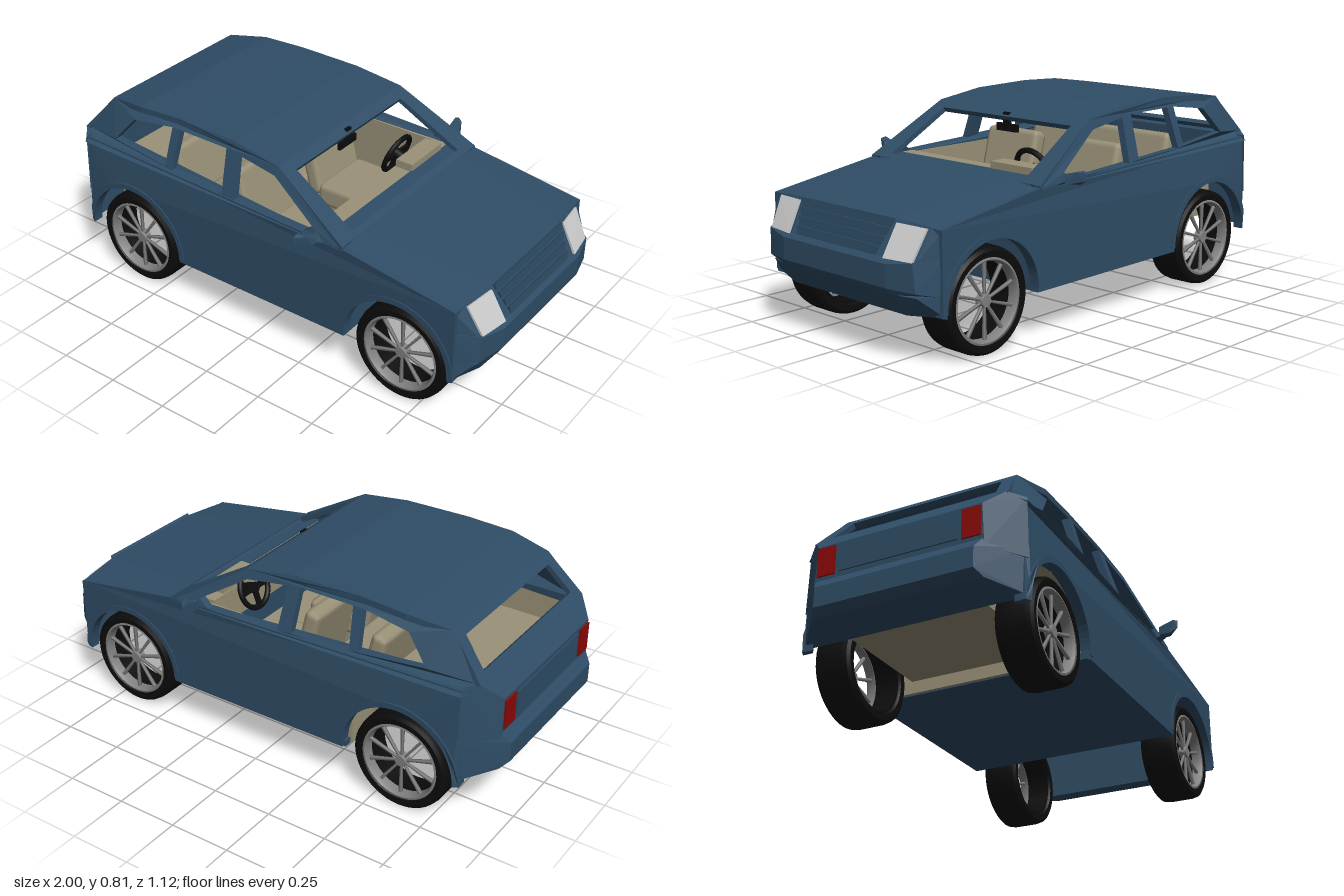
import * as THREE from 'three';
import { ConvexGeometry } from 'three/addons/geometries/ConvexGeometry.js';
import { RoundedBoxGeometry } from 'three/addons/geometries/RoundedBoxGeometry.js';
import { toCreasedNormals } from 'three/addons/utils/BufferGeometryUtils.js';

const mat = (color) => new THREE.MeshStandardMaterial({ color, side: THREE.DoubleSide });
const paint = mat(0x2f4d66), cream = mat(0x9a9278), black = mat(0x0c0c0c);
const alloy = mat(0x808080), lamp = mat(0xcccccc), red = mat(0x8c0808);

export function createModel() {
  const car = new THREE.Group();
  car.name = 'car';

  const add = (name, geometry, material = paint, parent = car) => {
    const mesh = new THREE.Mesh(geometry, material);
    mesh.name = name;
    parent.add(mesh);
    return mesh;
  };
  const sym = (pts) => pts.flatMap(([x, y, z]) => [[x, y, z], [x, y, -z]]);
  const hull = (name, pts, material) =>
    add(name, new ConvexGeometry(pts.map((p) => new THREE.Vector3(...p))), material);
  const box = (name, x0, x1, y0, y1, z0, z1, material) => {
    const m = add(name, new THREE.BoxGeometry(x1 - x0, y1 - y0, z1 - z0), material);
    m.position.set((x0 + x1) / 2, (y0 + y1) / 2, (z0 + z1) / 2);
    return m;
  };

  // Half width of the body: upright below the belt, leaning in above it
  const sideZ = (x, y) =>
    0.458 - Math.max(0, y - 0.58) * (0.3 + Math.max(0, -x - 0.6) * 1.2) - Math.max(0, -0.86 - x);

  // Flat side shape given thickness and bent onto both body sides
  const sidePanels = (name, shape, depth, proud = 0, material = paint) => {
    for (const s of [1, -1]) {
      const g = new THREE.ExtrudeGeometry(shape, { depth, bevelEnabled: false, curveSegments: 16 });
      const p = g.attributes.position;
      for (let i = 0; i < p.count; i++) {
        const w = sideZ(p.getX(i), p.getY(i)) + proud;
        p.setZ(i, (s > 0 ? w - depth : -w) + p.getZ(i));
      }
      g.computeVertexNormals();
      add(name, g, material);
    }
  };
  const poly = (pts, Type = THREE.Shape) => new Type(pts.map((p) => new THREE.Vector2(...p)));

  // Lower sides with wheel arches
  const arches = [[-0.615, 0.235], [0.655, 0.225]];
  const lower = new THREE.Shape();
  lower.moveTo(-0.87, 0.2);
  for (const [cx, r] of arches) {
    lower.lineTo(cx - r, cx < 0 ? 0.2 : 0.185);
    lower.absarc(cx, 0.2, r, Math.PI, 0, true);
    lower.lineTo(cx + r, 0.185);
  }
  for (const p of [[0.9, 0.19], [0.9, 0.497], [0.42, 0.568], [-0.87, 0.595]]) lower.lineTo(...p);
  sidePanels('lowerSide', lower, 0.04);

  // Arch flares
  for (const [cx, r] of arches) {
    const lip = new THREE.Shape();
    lip.absarc(cx, 0.2, r + 0.022, 0, Math.PI, false);
    lip.absarc(cx, 0.2, r, Math.PI, 0, true);
    sidePanels('archFlare', lip, 0.02, 0.004);
  }

  // Greenhouse sides with three windows
  const roofLine = [[-0.77, 0.77], [-0.6, 0.795], [-0.4, 0.805], [-0.12, 0.8], [0.09, 0.77]];
  const upper = poly([[-0.86, 0.58], [-0.91, 0.61], ...roofLine, [0.42, 0.575], [0.42, 0.56]]);
  upper.holes = [
    [[-0.71, 0.633], [-0.62, 0.737], [-0.425, 0.765], [-0.435, 0.61]],
    [[-0.4, 0.605], [-0.385, 0.765], [-0.155, 0.765], [-0.145, 0.593]],
    [[-0.085, 0.587], [-0.1, 0.758], [0.08, 0.733], [0.285, 0.605], [0.24, 0.576]],
  ].map((w) => poly(w, THREE.Path));
  sidePanels('greenhouseSide', upper, 0.03);

  // Roof
  for (let i = 0; i + 1 < roofLine.length; i++) {
    const ends = [roofLine[i], roofLine[i + 1]];
    hull('roof', sym(ends.flatMap(([x, y]) => {
      const z = sideZ(x, y);
      return [[x, y, z], [x, y - 0.025, z]];
    })));
  }

  // Frame of four bars between an outer and an inner trapezoid
  const frame = (name, outer, inner, [dx, dy]) => {
    const ring = ([a, b]) => [a, b, [b[0], b[1], -b[2]], [a[0], a[1], -a[2]]];
    const o = ring(outer), n = ring(inner);
    for (let i = 0; i < 4; i++) {
      const j = (i + 1) % 4;
      const face = [o[i], o[j], n[i], n[j]];
      hull(name, [...face, ...face.map(([x, y, z]) => [x + dx, y + dy, z])]);
    }
  };
  frame('windscreenFrame', [[0.42, 0.575, 0.455], [0.09, 0.77, 0.398]],
    [[0.395, 0.59, 0.365], [0.13, 0.746, 0.345]], [-0.01, -0.018]);
  frame('rearWindowFrame', [[-0.91, 0.61, 0.4], [-0.77, 0.77, 0.359]],
    [[-0.885, 0.638, 0.34], [-0.795, 0.741, 0.315]], [0.015, -0.013]);

  // Bonnet with raised centre, and cowl
  hull('bonnet', sym([[0.42, 0.576, 0.34], [0.42, 0.566, 0.455], [0.92, 0.51, 0.25], [0.9, 0.497, 0.44],
    [0.42, 0.46, 0.44], [0.9, 0.45, 0.43]]));
  hull('cowl', sym([[0.33, 0.585, 0.41], [0.42, 0.576, 0.41], [0.33, 0.54, 0.41], [0.43, 0.5, 0.41]]));

  // Nose, bumper and chin
  hull('nose', sym([[0.92, 0.51, 0.25], [0.905, 0.495, 0.41], [0.885, 0.497, 0.455], [0.885, 0.38, 0.455],
    [0.985, 0.383, 0.25], [0.963, 0.383, 0.395]]));
  hull('frontBumper', sym([[0.985, 0.387, 0.21], [1, 0.37, 0.28], [1, 0.285, 0.28], [0.975, 0.385, 0.39],
    [0.97, 0.28, 0.4], [0.885, 0.4, 0.457], [0.885, 0.26, 0.457], [0.985, 0.26, 0.29]]));
  hull('frontChin', sym([[0.985, 0.262, 0.29], [0.96, 0.262, 0.39], [0.93, 0.18, 0.31], [0.885, 0.19, 0.455],
    [0.885, 0.27, 0.457]]));

  // Grille slats
  const slope = (t, out) => [0.92 + 0.065 * t + 0.88 * out, 0.51 - 0.125 * t + 0.48 * out];
  for (let i = 0; i < 4; i++) {
    const t0 = i / 4 + 0.02, t1 = t0 + 0.21, half = 0.25 - 0.01 * i;
    hull('grilleSlat', sym([[...slope(t0, 0.013), half], [...slope(t0, -0.01), half],
      [...slope(t1, 0.002), half - 0.008], [...slope(t1, -0.01), half - 0.008]]));
  }

  // Lights
  for (const s of [1, -1]) {
    const face = [[0.914, 0.497, 0.4], [0.93, 0.5, 0.265], [0.993, 0.386, 0.26], [0.973, 0.386, 0.385]];
    hull('headlight', [...face, ...face.map(([x, y, z]) => [x - 0.025, y - 0.008, z])]
      .map(([x, y, z]) => [x, y, z * s]), lamp);
    box('tailLight', -0.977, -0.95, 0.425, 0.54, s * 0.295 - 0.037, s * 0.295 + 0.037, red);
  }

  // Tail, tailgate panel and rear bumper
  hull('tail', sym([[-0.86, 0.36, 0.457], [-0.86, 0.6, 0.45], [-0.97, 0.38, 0.345], [-0.97, 0.55, 0.335],
    [-0.91, 0.612, 0.395]]));
  box('tailgatePanel', -0.976, -0.95, 0.43, 0.535, -0.24, 0.24);
  hull('rearBumper', sym([[-0.85, 0.22, 0.457], [-0.855, 0.4, 0.457], [-0.97, 0.26, 0.345], [-1, 0.29, 0.32],
    [-1, 0.37, 0.32], [-0.97, 0.41, 0.34]]));

  // Underbody and firewall
  box('underbody', -0.39, 0.43, 0.185, 0.21, -0.45, 0.45);
  box('firewall', 0.39, 0.43, 0.19, 0.56, -0.45, 0.45);

  // Cabin lining
  box('cabinFloor', -0.39, 0.39, 0.21, 0.225, -0.42, 0.42, cream);
  box('rearBulkhead', -0.4, -0.385, 0.19, 0.45, -0.42, 0.42, cream);
  box('bootTub', -0.87, -0.4, 0.24, 0.45, -0.28, 0.28, cream);
  box('bootFloor', -0.87, -0.39, 0.437, 0.45, -0.415, 0.415, cream);
  box('dashboard', 0.255, 0.34, 0.45, 0.58, -0.4, 0.4, cream);
  box('instrumentHood', 0.26, 0.335, 0.575, 0.612, -0.335, -0.125, cream);
  for (const s of [1, -1]) {
    box('doorLining', -0.39, 0.39, 0.22, 0.57, s * 0.41 - 0.006, s * 0.41 + 0.006, cream);
    box('bootLining', -0.86, -0.39, 0.45, 0.578, s * 0.41 - 0.006, s * 0.41 + 0.006, cream);
  }

  // Seats: cushion and leaning backrest
  const seat = (name, x, y, z, width) => {
    const g = new THREE.Group();
    g.name = name;
    g.position.set(x, y, z);
    car.add(g);
    add('cushion', new RoundedBoxGeometry(0.24, 0.1, width, 1, 0.025), cream, g).position.set(0.1, 0, 0);
    const back = add('backrest', new RoundedBoxGeometry(0.07, 0.31, width, 1, 0.025), cream, g);
    back.position.set(-0.065, 0.14, 0);
    back.rotation.z = 0.25;
  };
  for (const s of [1, -1]) {
    seat('frontSeat', -0.07, 0.35, s * 0.217, 0.285);
    box('seatBase', -0.05, 0.12, 0.22, 0.31, s * 0.217 - 0.11, s * 0.217 + 0.11, cream);
  }
  seat('rearBench', -0.37, 0.355, 0, 0.74);

  // Steering wheel
  const steering = new THREE.Group();
  steering.name = 'steeringWheel';
  steering.position.set(0.2, 0.575, -0.22);
  steering.rotation.z = -0.35;
  car.add(steering);
  add('steeringRim', new THREE.TorusGeometry(0.08, 0.011, 8, 28), black, steering).rotation.y = Math.PI / 2;
  add('steeringColumn', new THREE.CylinderGeometry(0.022, 0.022, 0.09, 12), black, steering)
    .rotateZ(Math.PI / 2).position.set(0.035, 0, 0);
  add('steeringSpoke', new THREE.BoxGeometry(0.012, 0.022, 0.15), black, steering);
  add('steeringSpoke', new THREE.BoxGeometry(0.012, 0.08, 0.022), black, steering).position.y = -0.04;

  // Mirrors
  box('interiorMirror', 0.105, 0.118, 0.685, 0.715, -0.054, 0.054, black);
  box('mirrorStalk', 0.107, 0.122, 0.7, 0.76, -0.016, 0.016, black);
  for (const s of [1, -1]) {
    hull('sideMirror', [[0.28, 0.57, 0.475], [0.335, 0.58, 0.48], [0.28, 0.605, 0.475], [0.325, 0.61, 0.49],
      [0.275, 0.567, 0.52], [0.275, 0.622, 0.54], [0.31, 0.618, 0.53], [0.28, 0.585, 0.555], [0.28, 0.615, 0.558],
      [0.32, 0.575, 0.51]].map(([x, y, z]) => [x, y, z * s]));
    hull('mirrorArm', [[0.29, 0.56, 0.445], [0.34, 0.56, 0.445], [0.3, 0.595, 0.445], [0.29, 0.575, 0.49],
      [0.33, 0.58, 0.49], [0.31, 0.6, 0.49]].map(([x, y, z]) => [x, y, z * s]));
  }

  // Wheels: tyre, open rim, ten spokes and hub
  const lathe = (pts) => toCreasedNormals(
    new THREE.LatheGeometry(pts.map((p) => new THREE.Vector2(...p)), 48).rotateX(Math.PI / 2), 0.6);
  const tyre = lathe([[0.153, -0.06], [0.16, -0.073], [0.182, -0.075], [0.194, -0.066], [0.198, -0.045],
    [0.198, 0.045], [0.194, 0.066], [0.182, 0.075], [0.16, 0.073], [0.153, 0.06], [0.153, -0.06]]);
  const rim = lathe([[0.143, 0.03], [0.155, 0.03], [0.158, 0.07], [0.15, 0.072], [0.143, 0.06], [0.143, 0.03]]);
  const barrel = lathe([[0.146, -0.065], [0.153, -0.065], [0.153, 0.05], [0.146, 0.05], [0.146, -0.065]]);
  const spoke = new THREE.CylinderGeometry(0.009, 0.006, 0.13, 4, 1).rotateY(Math.PI / 4).translate(0, 0.083, 0.05);
  const hub = new THREE.CylinderGeometry(0.022, 0.028, 0.03, 20).rotateX(Math.PI / 2).translate(0, 0, 0.048);
  for (const [x, end] of [[0.665, 'front'], [-0.615, 'rear']]) {
    for (const s of [1, -1]) {
      const wheel = new THREE.Group();
      wheel.name = end + 'Wheel';
      wheel.position.set(x, 0.198, s * 0.368);
      wheel.rotation.y = s > 0 ? 0 : Math.PI;
      car.add(wheel);
      add('tyre', tyre, black, wheel);
      add('rim', rim, alloy, wheel);
      add('barrel', barrel, black, wheel);
      add('hub', hub, alloy, wheel);
      for (let i = 0; i < 10; i++) add('spoke', spoke, alloy, wheel).rotation.z = (i * Math.PI) / 5;
    }
  }
  return car;
}
